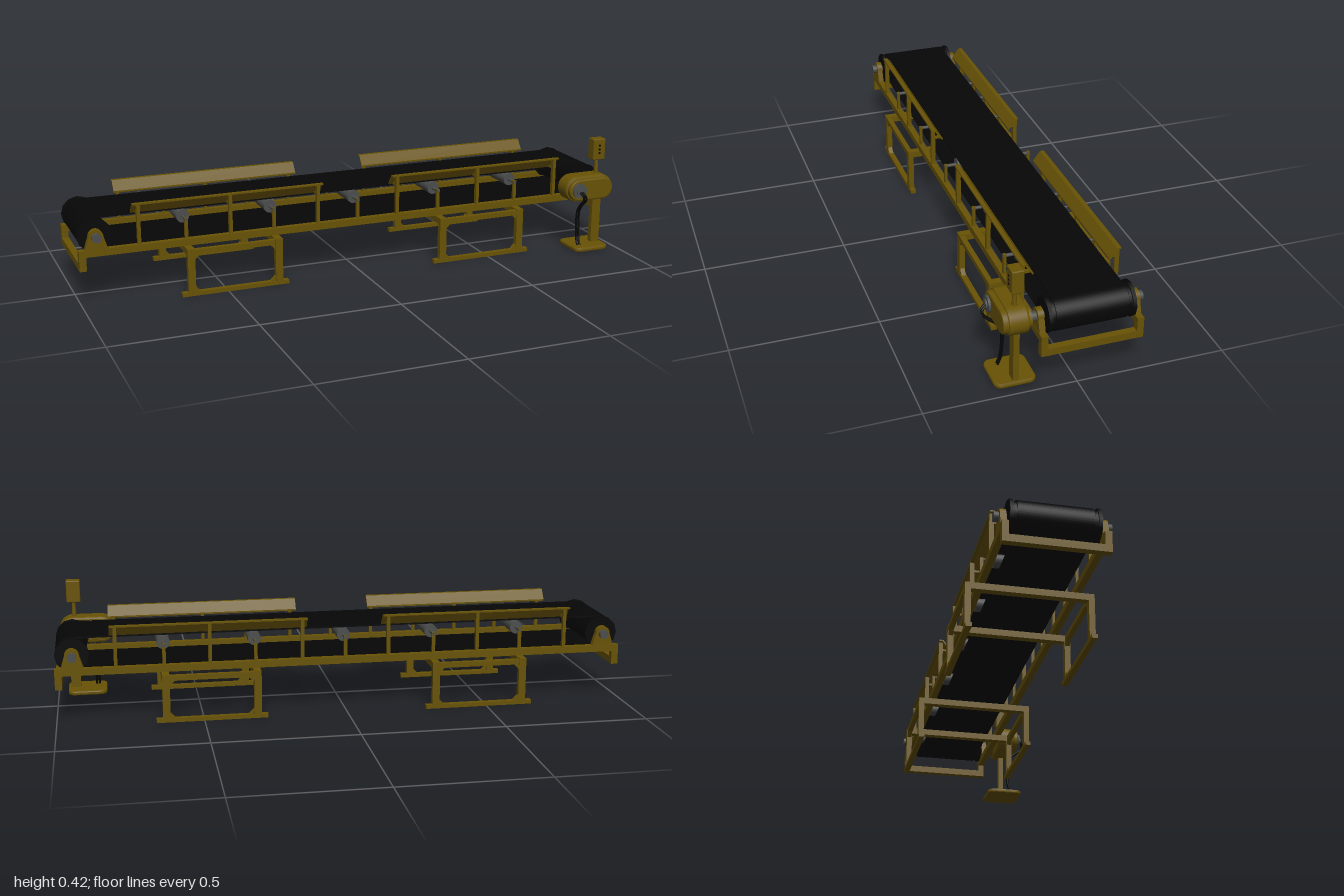
import * as THREE from 'three';
import { RoundedBoxGeometry } from 'three/addons/geometries/RoundedBoxGeometry.js';

const ZC = -0.047; // centre line of the conveyor
const mat = (name, color) => {
  const m = new THREE.MeshStandardMaterial({ color, side: THREE.DoubleSide });
  m.name = name;
  return m;
};

export function createModel() {
  const yellow = mat('yellowPaint', 0x685305);
  const black = mat('blackRubber', 0x060606);
  const grey = mat('greySteel', 0x4c4d4d);
  const model = new THREE.Group();
  model.name = 'beltConveyor';

  const add = (name, geo, m, x = 0, y = 0, z = 0, parent = model) => {
    const mesh = new THREE.Mesh(geo, m);
    mesh.name = name;
    mesh.position.set(x, y, z);
    parent.add(mesh);
    return mesh;
  };
  // box given by its limits on each axis
  const box = (name, m, x0, x1, y0, y1, z0, z1, parent) =>
    add(name, new THREE.BoxGeometry(x1 - x0, y1 - y0, z1 - z0), m,
      (x0 + x1) / 2, (y0 + y1) / 2, (z0 + z1) / 2, parent);
  // cylinder lying along z
  const rod = (name, m, r, x, y, z0, z1, seg = 24) =>
    add(name, new THREE.CylinderGeometry(r, r, Math.abs(z1 - z0), seg).rotateX(Math.PI / 2), m,
      x, y, (z0 + z1) / 2);
  // extrusion centred along z
  const extrude = (shape, depth, bevel = 0) =>
    new THREE.ExtrudeGeometry(shape, {
      depth: depth - 2 * bevel, curveSegments: 16, bevelEnabled: bevel > 0,
      bevelSize: bevel, bevelThickness: bevel, bevelOffset: -bevel, bevelSegments: 2,
    }).translate(0, 0, -depth / 2 + bevel);
  const stadium = (Type, half, r) => {
    const p = new Type();
    p.absarc(half, 0, r, -Math.PI / 2, Math.PI / 2, false);
    p.absarc(-half, 0, r, Math.PI / 2, Math.PI * 1.5, false);
    p.closePath();
    return p;
  };

  // belt loop
  const loop = stadium(THREE.Shape, 0.94, 0.057);
  loop.holes.push(stadium(THREE.Path, 0.94, 0.052));
  add('belt', extrude(loop, 0.238), black, 0, 0.234, ZC);

  // end drums with rims, shafts and bearing brackets
  for (const x of [-0.94, 0.94]) {
    rod('drum', black, 0.0515, x, 0.234, ZC - 0.125, ZC + 0.125, 32);
    rod('drumShaft', grey, 0.014, x, 0.234, ZC - 0.165, ZC + 0.165);
    for (const s of [-1, 1]) {
      rod('drumGroove', black, 0.053, x, 0.234, ZC + s * 0.122, ZC + s * 0.131);
      rod('drumRim', black, 0.059, x, 0.234, ZC + s * 0.131, ZC + s * 0.143, 12);
      const bracket = new THREE.Shape();
      bracket.moveTo(-0.04, -0.046);
      bracket.lineTo(0.04, -0.046);
      bracket.lineTo(0.025, 0.002);
      bracket.absarc(0, 0.002, 0.025, 0, Math.PI, false);
      add('bearingBracket', extrude(bracket, 0.02), yellow, x, 0.234, ZC + s * 0.158);
      rod('bearingCap', grey, 0.016, x, 0.234, ZC + s * 0.165, ZC + s * 0.184);
    }
  }

  // side rails and the dropped frames at both ends
  for (const s of [-1, 1]) {
    const z = ZC + s * 0.158;
    box('sideRail', yellow, -1, 1, 0.168, 0.192, z - 0.011, z + 0.011);
    for (const e of [-1, 1])
      box('endUpright', yellow, e * 0.988 - 0.012, e * 0.988 + 0.012, 0.12, 0.192, z - 0.011, z + 0.011);
  }
  for (const e of [-1, 1])
    box('endCrossbar', yellow, e * 0.988 - 0.012, e * 0.988 + 0.012, 0.12, 0.145, ZC - 0.169, ZC + 0.169);

  // idler rollers on small posts
  for (const x of [-0.63, -0.315, 0, 0.315, 0.63]) {
    rod('idlerRoller', grey, 0.023, x, 0.259, ZC - 0.119, ZC + 0.119);
    rod('idlerShaft', grey, 0.006, x, 0.259, ZC - 0.164, ZC + 0.164, 12);
    for (const s of [-1, 1])
      box('idlerPost', yellow, x - 0.006, x + 0.006, 0.19, 0.265, ZC + s * 0.158 - 0.005, ZC + s * 0.158 + 0.005);
  }

  // sloping side guards on posts; the far side is the near side turned round
  for (const s of [-1, 1]) {
    const side = new THREE.Group();
    side.name = 'sideGuards';
    side.position.z = ZC;
    side.rotation.y = s > 0 ? 0 : Math.PI;
    model.add(side);
    const profile = new THREE.Shape();
    [[0.167, 0.335], [0.152, 0.335], [0.127, 0.301], [0.127, 0.295], [0.131, 0.295],
      [0.155, 0.33], [0.167, 0.33]].forEach(([z, y], i) => profile[i ? 'lineTo' : 'moveTo'](-z, y));
    for (const e of [-1, 1]) {
      add('guardPlate', extrude(profile, 0.68).rotateY(Math.PI / 2), yellow, e * 0.473, 0, 0, side);
      for (const x of [0.152, 0.473, 0.794]) {
        box('guardPost', yellow, e * x - 0.006, e * x + 0.006, 0.19, 0.333, 0.152, 0.167, side);
        box('guardBracket', yellow, e * x - 0.006, e * x + 0.006, 0.295, 0.303, 0.13, 0.155, side);
      }
    }
  }

  // support stands
  for (const cx of [-0.472, 0.472]) {
    const stand = new THREE.Group();
    stand.name = 'supportStand';
    stand.position.x = cx;
    model.add(stand);
    for (const x of [-0.157, 0.157])
      box('standCrossbar', yellow, x - 0.013, x + 0.013, 0.145, 0.168, ZC - 0.213, ZC + 0.213, stand);
    for (const s of [-1, 1]) {
      const z = ZC + s * 0.203;
      box('standFoot', yellow, -0.192, 0.192, 0, 0.014, z - 0.01, z + 0.01, stand);
      box('standTopBar', yellow, -0.157, 0.157, 0.147, 0.165, z - 0.009, z + 0.009, stand);
      for (const x of [-1, 1]) {
        box('standLeg', yellow, x * 0.157 - 0.013, x * 0.157 + 0.013, 0, 0.166, z - 0.01, z + 0.01, stand);
        for (const [y, d] of [[0.014, 1], [0.147, -1]]) {
          const gusset = new THREE.Shape();
          gusset.moveTo(x * 0.144, y);
          gusset.lineTo(x * 0.126, y);
          gusset.lineTo(x * 0.144, y + d * 0.018);
          add('standGusset', extrude(gusset, 0.016), yellow, 0, 0, z, stand);
        }
      }
    }
  }

  // drive unit: gearbox, motor cap and coupling
  add('gearbox', extrude(stadium(THREE.Shape, 0.05, 0.048), 0.068, 0.008), yellow, 0.888, 0.236, 0.186);
  add('gearboxCover', extrude(stadium(THREE.Shape, 0.05, 0.041), 0.085, 0.006), yellow, 0.888, 0.236, 0.194);
  rod('gearboxFlange', yellow, 0.034, 0.94, 0.236, 0.142, 0.16);
  rod('coupling', grey, 0.016, 0.94, 0.234, 0.115, 0.15);
  rod('motorCap', grey, 0.028, 0.836, 0.236, 0.225, 0.244);
  rod('motorCapCentre', grey, 0.016, 0.836, 0.236, 0.244, 0.249);

  // drive stand and base plate with rounded corners
  const plate = new THREE.Shape();
  for (const [i, [sx, sz]] of [[1, 1], [-1, 1], [-1, -1], [1, -1]].entries())
    plate.absarc(sx * 0.045, sz * 0.044, 0.025, i * Math.PI / 2, (i + 1) * Math.PI / 2, false);
  plate.closePath();
  add('driveBase', extrude(plate, 0.016, 0.005).rotateX(-Math.PI / 2), yellow, 0.895, 0.008, 0.186);
  box('drivePost', yellow, 0.92, 0.955, 0.012, 0.2, 0.176, 0.196);

  // control box on its neck, with push buttons
  add('controlNeck', new THREE.CylinderGeometry(0.006, 0.009, 0.06, 12), yellow, 0.933, 0.31, 0.187);
  add('controlBox', new RoundedBoxGeometry(0.05, 0.08, 0.04, 2, 0.004), yellow, 0.933, 0.377, 0.185);
  for (const y of [0.364, 0.378, 0.392])
    rod('controlButton', black, 0.004, 0.933, y, 0.204, 0.207, 12);

  // pair of power cables side by side
  for (const dx of [-0.005, 0.005]) {
    const path = new THREE.CatmullRomCurve3([
      [0.838, 0.233, 0.245], [0.843, 0.222, 0.26], [0.85, 0.205, 0.257], [0.856, 0.175, 0.222],
      [0.857, 0.145, 0.201], [0.857, 0.07, 0.2], [0.857, 0.04, 0.204], [0.857, 0.012, 0.215],
    ].map(([x, y, z]) => new THREE.Vector3(x + dx, y, z)));
    add('powerCable', new THREE.TubeGeometry(path, 40, 0.004, 8), black);
  }

  return model;
}
